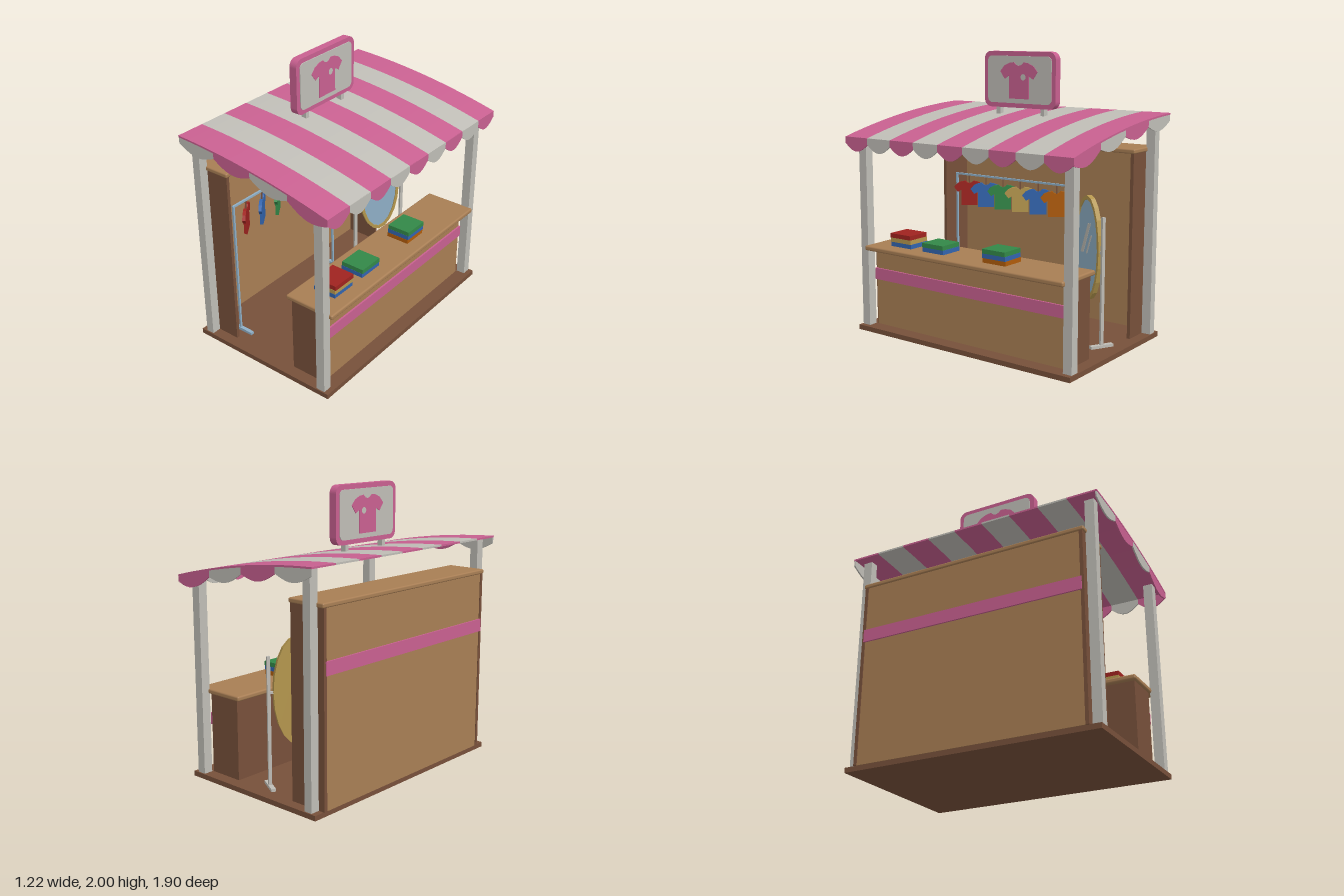
import * as THREE from 'three';
import { RoundedBoxGeometry } from 'three/addons/geometries/RoundedBoxGeometry.js';

const colours = {
  tan: 0xa87e54, brown: 0x77503a, pink: 0xc86090, offWhite: 0xbfbdb6, gold: 0xb5974e,
  paleBlue: 0x8fafc6, red: 0x9f231f, blue: 0x3264ae, green: 0x338848, orange: 0xb05c0a,
};

export function createModel() {
  const root = new THREE.Group();
  const mats = {};
  for (const [name, color] of Object.entries(colours)) {
    mats[name] = new THREE.MeshStandardMaterial({ color });
    mats[name].name = name;
  }

  const add = (parent, name, geo, mat, x = 0, y = 0, z = 0) => {
    const mesh = new THREE.Mesh(geo, mats[mat]);
    mesh.name = name;
    mesh.position.set(x, y, z);
    parent.add(mesh);
    return mesh;
  };
  const group = (name, parent = root) => {
    const g = new THREE.Group();
    g.name = name;
    parent.add(g);
    return g;
  };
  // Box given by its lower and upper limits on each axis
  const box = (parent, name, mat, [x0, x1], [y0, y1], [z0, z1], radius = 0) => {
    const size = [x1 - x0, y1 - y0, z1 - z0];
    const geo = radius ? new RoundedBoxGeometry(...size, 2, radius) : new THREE.BoxGeometry(...size);
    return add(parent, name, geo, mat, (x0 + x1) / 2, (y0 + y1) / 2, (z0 + z1) / 2);
  };
  const shapeOf = (pts) => new THREE.Shape(pts.map(([x, y]) => new THREE.Vector2(x, y)));
  const extrude = (shape, depth) =>
    new THREE.ExtrudeGeometry(shape, { depth, bevelEnabled: false, curveSegments: 10 }).translate(0, 0, -depth / 2);

  // Floor and corner posts
  box(root, 'floor', 'brown', [-0.59, 0.56], [0, 0.035], [-0.91, 0.91]);
  for (const z of [-0.868, 0.868]) {
    box(root, 'backPost', 'offWhite', [-0.55, -0.49], [0.035, 1.57], [z - 0.033, z + 0.033]);
    box(root, 'frontPost', 'offWhite', [0.46, 0.525], [0.035, 1.425], [z - 0.033, z + 0.033]);
  }

  // Back wall: an open-fronted recess with side panels and a top board
  const wall = group('backWall');
  box(wall, 'backPanel', 'tan', [-0.595, -0.575], [0.035, 1.335], [-0.812, 0.812]);
  for (const z of [-0.823, 0.823])
    box(wall, 'sidePanel', 'brown', [-0.6, -0.32], [0.035, 1.335], [z - 0.012, z + 0.012]);
  box(wall, 'topBoard', 'tan', [-0.605, -0.31], [1.328, 1.36], [-0.845, 0.845], 0.01);
  box(wall, 'wallStripe', 'pink', [-0.607, -0.594], [0.91, 1.0], [-0.82, 0.82]);

  // Counter
  const counter = group('counter');
  box(counter, 'counterBody', 'brown', [0.198, 0.454], [0.035, 0.6], [-0.825, 0.825]);
  box(counter, 'counterFront', 'tan', [0.453, 0.459], [0.037, 0.598], [-0.815, 0.815]);
  box(counter, 'counterTop', 'tan', [0.165, 0.55], [0.595, 0.63], [-0.845, 0.845], 0.012);
  box(counter, 'counterStripe', 'pink', [0.455, 0.472], [0.372, 0.455], [-0.822, 0.822]);

  // Folded clothes on the counter, listed from the bottom up
  const stacks = [
    [0.59, ['blue', 'gold', 'red']],
    [0.295, ['blue', 'green']],
    [-0.235, ['orange', 'blue', 'green']],
  ];
  for (const [z, layers] of stacks) {
    const stack = group('foldedStack');
    layers.forEach((mat, i) => {
      const x = 0.362 + 0.004 * (i - 1);
      const y = 0.63 + 0.032 * i;
      box(stack, 'foldedCloth', mat, [x - 0.087, x + 0.087], [y, y + 0.031], [z - 0.094, z + 0.094]);
    });
  }

  // T-shirt outline, 0.32 wide, with its hem at y = 0
  const shirtShape = () => {
    const half = [[0.042, 0.255], [0.08, 0.25], [0.125, 0.23], [0.16, 0.19], [0.122, 0.138], [0.085, 0.16], [0.085, 0]];
    const neck = [[-0.022, 0.236], [0, 0.23], [0.022, 0.236]];
    return shapeOf([...neck, ...half, ...half.map(([x, y]) => [-x, y]).reverse()]);
  };

  // Clothes rail with hanging shirts turned at an angle
  const rack = group('clothesRack');
  const rackX = -0.37;
  box(rack, 'rail', 'paleBlue', [rackX - 0.007, rackX + 0.007], [1.043, 1.057], [-0.322, 0.748]);
  for (const z of [0.741, -0.315]) {
    box(rack, 'rackPost', 'paleBlue', [rackX - 0.007, rackX + 0.007], [0.04, 1.05], [z - 0.007, z + 0.007]);
    box(rack, 'rackFoot', 'paleBlue', [rackX - 0.11, rackX + 0.11], [0.035, 0.055], [z - 0.013, z + 0.013]);
  }
  ['red', 'blue', 'green', 'gold', 'blue', 'orange'].forEach((mat, i) => {
    const hung = group('hangingShirt', rack);
    hung.position.set(rackX, 0.815, 0.622 - 0.161 * i);
    hung.rotation.y = -THREE.MathUtils.degToRad(55);
    add(hung, 'shirt', extrude(shirtShape(), 0.022).scale(0.73, 0.73, 1), mat);
    box(hung, 'hangerHook', 'brown', [-0.005, 0.005], [0.16, 0.237], [-0.005, 0.005]);
  });

  // Oval standing mirror
  const mirror = group('mirror');
  mirror.position.set(-0.14, 0, -0.6);
  mirror.rotation.y = THREE.MathUtils.degToRad(61.4);
  const oval = (rx, ry) => shapeOf(Array.from({ length: 20 }, (_, i) => {
    const a = (i / 20) * Math.PI * 2;
    return [rx * Math.cos(a), ry * Math.sin(a)];
  }));
  const rim = oval(0.164, 0.365);
  rim.holes.push(oval(0.142, 0.338));
  add(mirror, 'mirrorFrame', extrude(rim, 0.034), 'gold', 0, 0.685, 0);
  add(mirror, 'mirrorBack', extrude(oval(0.15, 0.348), 0.018), 'gold', 0, 0.685, -0.007);
  add(mirror, 'mirrorGlass', extrude(oval(0.143, 0.339), 0.006), 'paleBlue', 0, 0.685, 0.007);
  const streaks = [
    [[-0.085, 0.645], [-0.05, 0.645], [0.045, 0.86], [0.01, 0.86]],
    [[-0.015, 0.645], [0, 0.645], [0.062, 0.78], [0.047, 0.78]],
  ];
  for (const pts of streaks) add(mirror, 'glassGlint', extrude(shapeOf(pts), 0.004), 'offWhite', 0, 0, 0.011);
  for (const s of [-1, 1]) {
    const u = s * 0.193;
    box(mirror, 'mirrorPost', 'offWhite', [u - 0.011, u + 0.011], [0.04, 0.93], [-0.011, 0.011]);
    box(mirror, 'mirrorFoot', 'offWhite', [u - 0.016, u + 0.016], [0.035, 0.055], [-0.085, 0.085]);
    const p = s * 0.172;
    box(mirror, 'mirrorPivot', 'offWhite', [p - 0.02, p + 0.02], [0.677, 0.693], [-0.007, 0.007]);
  }

  // Striped awning on a shallow curve, with scalloped front and side edges
  const awning = group('awning');
  const roofY = (x) => 1.535 - 0.1475 * x - 0.094 * x * x;
  const strip = (x0, x1, n, drop) => {
    const top = [], bottom = [];
    for (let i = 0; i <= n; i++) {
      const x = x0 + ((x1 - x0) * i) / n;
      top.push([x, roofY(x)]);
      bottom.unshift([x, roofY(x) - drop(i / n)]);
    }
    return shapeOf([...top, ...bottom]);
  };
  const scallop = (t) => 0.05 + 0.05 * Math.sin(Math.PI * t);
  const stripeWidth = 1.9 / 9;
  const frontScallop = [[-stripeWidth / 2, 0], [stripeWidth / 2, 0]];
  for (let i = 0; i <= 10; i++)
    frontScallop.push([stripeWidth * (0.5 - i / 10), -0.045 - 0.055 * Math.sin((Math.PI * i) / 10)]);
  for (let i = 0; i < 9; i++) {
    const z = (i - 4) * stripeWidth;
    const mat = i % 2 ? 'offWhite' : 'pink';
    add(awning, 'roofStripe', extrude(strip(-0.61, 0.605, 14, () => 0.012), stripeWidth), mat, 0, 0, z);
    add(awning, 'frontScallop', extrude(shapeOf(frontScallop).clone(), 0.01).rotateY(Math.PI / 2), mat, 0.602, roofY(0.607), z);
  }
  for (const z of [-0.943, 0.943]) {
    for (let i = 0; i < 4; i++) {
      const x0 = -0.608 + i * 0.302;
      const geo = extrude(strip(x0, x0 + 0.302, 10, scallop), 0.01).translate(0, -0.004, 0);
      add(awning, 'sideScallop', geo, i % 2 ? 'pink' : 'offWhite', 0, 0, z);
    }
  }

  // Roof sign with a shirt emblem on both faces
  const sign = group('roofSign');
  sign.position.set(-0.19, 1.803, 0);
  sign.rotation.y = Math.PI / 2;
  const roundedRect = (w, h, r) => {
    const s = new THREE.Shape();
    s.absarc(w - r, h - r, r, 0, Math.PI / 2);
    s.absarc(r - w, h - r, r, Math.PI / 2, Math.PI);
    s.absarc(r - w, r - h, r, Math.PI, Math.PI * 1.5);
    s.absarc(w - r, r - h, r, Math.PI * 1.5, Math.PI * 2);
    return s;
  };
  add(sign, 'signFrame', extrude(roundedRect(0.305, 0.197, 0.055), 0.056), 'pink');
  add(sign, 'signPanel', extrude(roundedRect(0.272, 0.165, 0.035), 0.068), 'offWhite');
  for (const s of [-1, 1]) {
    const emblem = shirtShape();
    emblem.holes.push(new THREE.Path().absarc(0.038, 0.152, 0.022, 0, Math.PI * 2, true));
    add(sign, 'shirtEmblem', extrude(emblem, 0.006), 'pink', 0, -0.133, s * 0.035);
    const u = s * 0.19;
    box(sign, 'signLeg', 'offWhite', [u - 0.016, u + 0.016], [-0.26, -0.19], [-0.02, 0.02]);
  }

  return root;
}
